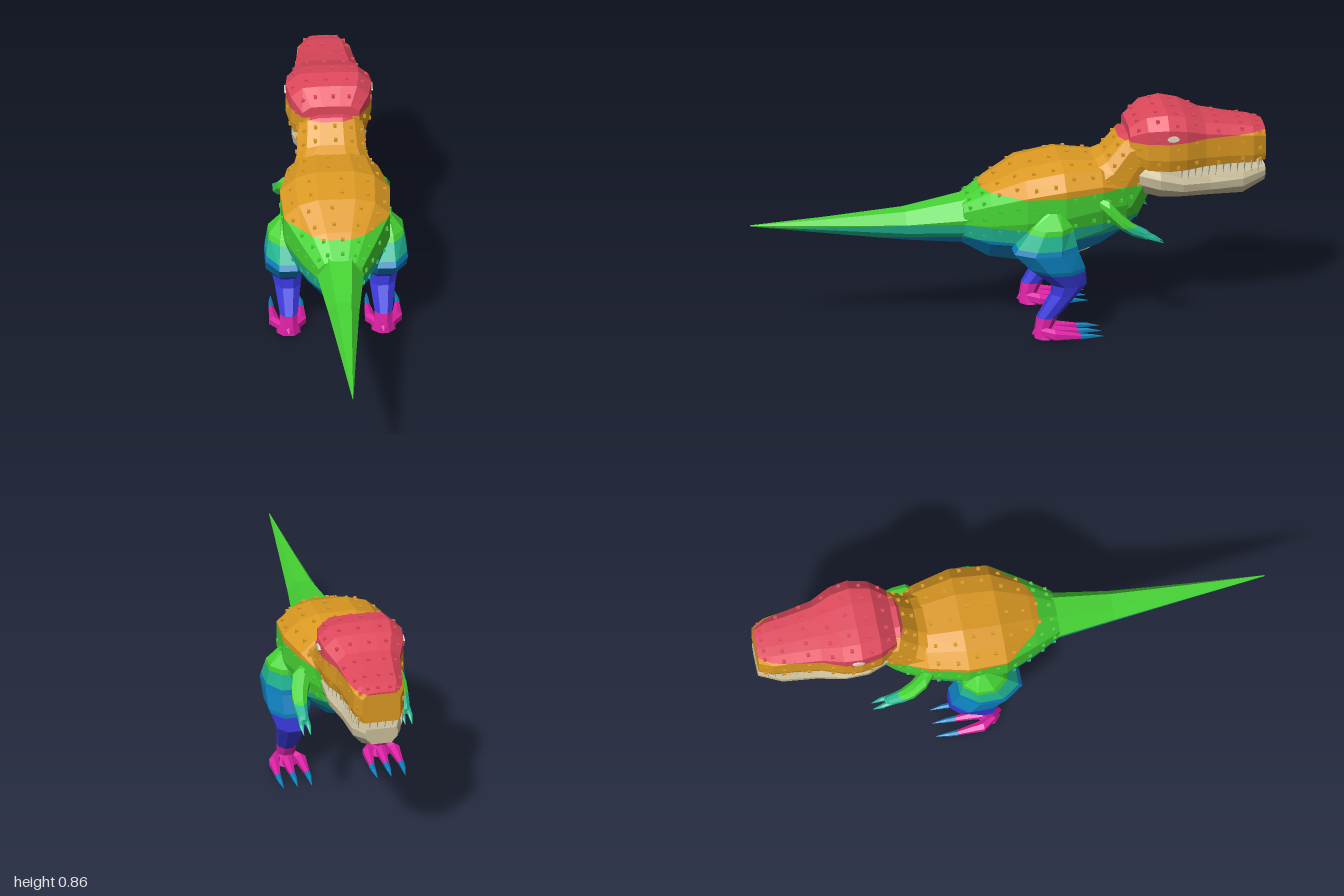
import * as THREE from 'three';

const mat = (name, color) => Object.assign(new THREE.MeshStandardMaterial({ color }), { name });
const V = (x, y, z) => new THREE.Vector3(x, y, z);

// Closed loft through rings of equal length, turned so that its faces point outwards
function loft(rings) {
  const tris = [], n = rings[0].length;
  const mid = r => r.reduce((s, p) => s.add(p), V(0, 0, 0)).divideScalar(n);
  for (let i = 0; i < rings.length - 1; i++) for (let j = 0; j < n; j++) {
    const k = (j + 1) % n, a = rings[i], b = rings[i + 1];
    tris.push([a[j], a[k], b[k]], [a[j], b[k], b[j]]);
  }
  const first = rings[0], last = rings[rings.length - 1], c0 = mid(first), c1 = mid(last);
  for (let j = 0; j < n; j++) {
    const k = (j + 1) % n;
    tris.push([first[k], first[j], c0], [last[j], last[k], c1]);
  }
  const volume = tris.reduce((s, [a, b, c]) => s + a.dot(b.clone().cross(c)), 0);
  if (volume < 0) tris.forEach(t => t.reverse());
  return new THREE.BufferGeometry().setFromPoints(tris.flat());
}

// Cross-section hung between a top and a bottom point, shaped by a half profile [x, height]
const ring = (half, [zt, yt, zb, yb, w]) =>
  [...half, ...half.slice().reverse().map(([x, h]) => [-x, h])].map(([x, h]) =>
    V(x * w, yb + (yt - yb) * h, zb + (zt - zb) * h));
const upright = ([z, yt, yb, w]) => [z, yt, z, yb, w];

// Oval rings for limbs: lying flat (leg) or standing across z (arm, toe)
const oval = (n, place) => Array.from({ length: n }, (_, i) => {
  const a = (i + 0.5) / n * Math.PI * 2;
  return place(Math.cos(a), Math.sin(a));
});
const flatOval = ([y, x, z, rx, rz], s) => oval(8, (c, d) => V(s * (x + rx * c), y, z + rz * d));
const crossOval = ([z, x, y, r], s, n = 6) => oval(n, (c, d) => V(s * (x + r * c), y + r * d, z));

// Small square scales scattered over a lofted skin
function scales(rings, steps, keep) {
  const out = [], n = rings[0].length;
  for (let i = 0; i < rings.length - 1; i++) for (const t of steps) for (let j = 0; j < n; j++) {
    if (!keep(j, n)) continue;
    const a = rings[i][j].clone().lerp(rings[i + 1][j], t);
    const b = rings[i][(j + 1) % n].clone().lerp(rings[i + 1][(j + 1) % n], t);
    const p = a.lerp(b, i % 2 ? 0.35 : 0.65);
    out.push(new THREE.BoxGeometry(0.013, 0.013, 0.013).translate(p.x, p.y, p.z));
  }
  return out;
}

// Part of a polygon on one side of a level
function clip(poly, level, sign) {
  const out = [];
  poly.forEach((p, i) => {
    const q = poly[(i + 1) % poly.length];
    const dp = sign * (p.y - level), dq = sign * (q.y - level);
    if (dp >= 0) out.push(p);
    if (dp * dq < 0) out.push(p.clone().lerp(q, dp / (dp - dq)));
  });
  return out;
}

export function createModel() {
  const root = new THREE.Group();
  root.name = 'dinosaur';
  const red = mat('red', 0xe0485c), orange = mat('orange', 0xdd9a22), green = mat('green', 0x46d434);
  const teal = mat('teal', 0x22b894), blue = mat('blue', 0x0c80bd), indigo = mat('indigo', 0x3a3ade);
  const magenta = mat('magenta', 0xdc20a4), cream = mat('cream', 0xcdc29e), ivory = mat('ivory', 0xe0dbc8);
  const bands = [[-1, 0.09, magenta], [0.09, 0.283, indigo], [0.283, 0.39, blue], [0.39, 0.45, teal],
    [0.45, 0.583, green], [0.583, 0.762, orange], [0.762, 2, red]];

  // Cuts geometries at the colour levels; each level becomes one material group
  function banded(name, geos) {
    const tris = geos.flatMap(g => {
      const p = (g.index ? g.toNonIndexed() : g).attributes.position;
      return Array.from({ length: p.count / 3 }, (_, i) =>
        [0, 1, 2].map(k => new THREE.Vector3().fromBufferAttribute(p, i * 3 + k)));
    });
    const pts = [], geo = new THREE.BufferGeometry();
    const parts = [];
    bands.forEach(([lo, hi, m]) => {
      const start = pts.length;
      for (const t of tris) {
        const poly = clip(clip(t, lo, 1), hi, -1);
        for (let i = 1; i < poly.length - 1; i++) pts.push(poly[0], poly[i], poly[i + 1]);
      }
      if (pts.length > start) {
        geo.addGroup(start, pts.length - start, parts.length);
        parts.push(m);
      }
    });
    geo.setFromPoints(pts);
    geo.computeVertexNormals();
    const mesh = new THREE.Mesh(geo, parts);
    mesh.name = name;
    root.add(mesh);
  }
  function plain(name, geo, material) {
    const g = geo.index ? geo.toNonIndexed() : geo;
    g.computeVertexNormals();
    const mesh = new THREE.Mesh(g, material);
    mesh.name = name;
    root.add(mesh);
    return mesh;
  }

  // Body: z, top, bottom, half width
  const bodyHalf = [[0.35, 1], [0.72, 0.94], [1, 0.8], [1, 0.52], [0.85, 0.24], [0.42, 0]];
  const bodyRows = [[0.18, 0.535, 0.36, 0.085], [0.08, 0.6, 0.305, 0.14], [-0.05, 0.665, 0.29, 0.205],
    [-0.2, 0.69, 0.29, 0.212], [-0.35, 0.675, 0.335, 0.175], [-0.45, 0.62, 0.385, 0.125], [-0.51, 0.55, 0.43, 0.07]];
  const body = bodyRows.map(r => ring(bodyHalf, upright(r)));
  banded('body', [loft(body)]);
  banded('bodyScales', scales(body.slice(0, 6), [0.25, 0.75], (j, n) => j < 4 || j > n - 6));

  // Belly plate under the body
  const belly = [[0.02, 0.297, 0.04], [-0.05, 0.289, 0.075], [-0.2, 0.289, 0.08], [-0.31, 0.321, 0.07], [-0.35, 0.334, 0.04]];
  plain('bellyPlate', loft(belly.map(([z, y, w]) =>
    [V(w, y, z), V(-w, y, z), V(-w, y - 0.005, z), V(w, y - 0.005, z)])), cream);

  // Tail
  const tailHalf = [[0.5, 1], [1, 0.62], [0.85, 0.3], [0.35, 0]];
  const tail = [[0.14, 0.55, 0.34, 0.1], [0.18, 0.535, 0.358, 0.09], [0.4, 0.497, 0.378, 0.06],
    [0.7, 0.48, 0.42, 0.03], [1, 0.468, 0.463, 0.002]].map(r => ring(tailHalf, upright(r)));
  banded('tail', [loft(tail)]);

  // Neck: leaning sections from the shoulders into the back of the head
  const neck = [[-0.3, 0.66, -0.4, 0.4, 0.16], [-0.37, 0.695, -0.5, 0.43, 0.135],
    [-0.44, 0.775, -0.55, 0.53, 0.125], [-0.52, 0.77, -0.6, 0.6, 0.115]].map(r => ring(bodyHalf, r));
  banded('neck', [loft(neck)]);
  banded('neckScales', scales(neck.slice(1, 3), [0.2, 0.7], (j, n) => j < 4 || j > n - 6));

  // Upper head
  const headHalf = [[0.3, 1], [0.7, 0.98], [1, 0.78], [1, 0.22], [0.92, 0]];
  const head = [[-0.465, 0.81, 0.69, 0.11], [-0.53, 0.86, 0.65, 0.15], [-0.61, 0.87, 0.645, 0.166],
    [-0.68, 0.855, 0.645, 0.157], [-0.76, 0.82, 0.645, 0.125], [-0.86, 0.8, 0.645, 0.11],
    [-0.95, 0.785, 0.64, 0.1], [-1, 0.77, 0.64, 0.075]].map(r => ring(headHalf, upright(r)));
  banded('head', [loft(head)]);
  banded('headScales', scales(head, [0.5], (j, n) => j < 4 || j > n - 6));

  // Lower jaw
  const jawHalf = [[0.9, 1], [1, 0.75], [0.95, 0.4], [0.6, 0]];
  plain('lowerJaw', loft([[-0.5, 0.65, 0.54, 0.12], [-0.58, 0.635, 0.52, 0.145], [-0.67, 0.605, 0.513, 0.14],
    [-0.78, 0.595, 0.508, 0.112], [-0.91, 0.6, 0.505, 0.098], [-1, 0.61, 0.545, 0.065]]
    .map(r => ring(jawHalf, upright(r)))), cream);

  // Teeth along both sides and across the snout
  const tooth = (x, z) => plain('tooth',
    new THREE.ConeGeometry(0.009, 0.055, 4).rotateX(Math.PI).translate(x, 0.625, z), ivory);
  for (const s of [1, -1]) {
    for (let i = 0; i < 12; i++) {
      const z = -0.66 - i * 0.028;
      tooth(s * (z > -0.76 ? 0.135 + (z + 0.66) * 0.32 : 0.103 + (z + 0.76) * 0.08), z);
    }
    for (const x of [0.015, 0.045]) tooth(s * x, -0.985);

    // Eye
    const eye = plain('eye', new THREE.CylinderGeometry(0.012, 0.012, 0.008, 8).scale(2, 1, 1).rotateX(Math.PI / 2), ivory);
    eye.rotation.y = s * Math.PI / 2;
    eye.position.set(s * 0.166, 0.785, -0.625);

    // Leg: y, x, z, half width, half depth
    banded('leg', [loft([[0.525, 0.2, -0.15, 0.015, 0.03], [0.47, 0.19, -0.145, 0.075, 0.085],
      [0.37, 0.19, -0.12, 0.092, 0.135], [0.3, 0.188, -0.165, 0.09, 0.115], [0.225, 0.185, -0.215, 0.062, 0.07],
      [0.185, 0.183, -0.197, 0.054, 0.055], [0.09, 0.183, -0.128, 0.037, 0.042], [0.05, 0.183, -0.115, 0.037, 0.035],
      [0.008, 0.183, -0.12, 0.05, 0.045]].map(r => flatOval(r, s)))]);

    // Toes with claws
    for (const k of [-1, 0, 1]) {
      const x = t => 0.185 + k * t;
      plain('toe', loft([[-0.1, x(0.02), 0.035, 0.02], [-0.15, x(0.052), 0.03, 0.023],
        [-0.26, x(0.058), 0.021, 0.01]].map(r => crossOval(r, s))), magenta);
      plain('toeClaw', loft([[-0.25, x(0.058), 0.021, 0.012], [-0.29, x(0.058), 0.021, 0.009],
        [-0.34, x(0.055), 0.016, 0.001]].map(r => crossOval(r, s))), blue);
    }
    plain('hindToe', loft([[-0.12, 0.183, 0.05, 0.022], [-0.08, 0.183, 0.03, 0.012],
      [-0.07, 0.183, 0.02, 0.003]].map(r => crossOval(r, s))), magenta);

    // Arm and fingers: z, x, y, radius
    banded('arm', [loft([[-0.33, 0.155, 0.54, 0.02], [-0.37, 0.175, 0.515, 0.04], [-0.42, 0.195, 0.465, 0.033],
      [-0.46, 0.2, 0.435, 0.027], [-0.515, 0.2, 0.41, 0.02], [-0.53, 0.2, 0.405, 0.012]].map(r => crossOval(r, s, 8)))]);
    for (const k of [-1, 1]) plain('finger', loft([[-0.5, 0.2 + k * 0.01, 0.412, 0.012],
      [-0.545, 0.2 + k * 0.014, 0.395, 0.009], [-0.58, 0.2 + k * 0.013, 0.376, 0.001]].map(r => crossOval(r, s))), teal);
  }
  return root;
}
